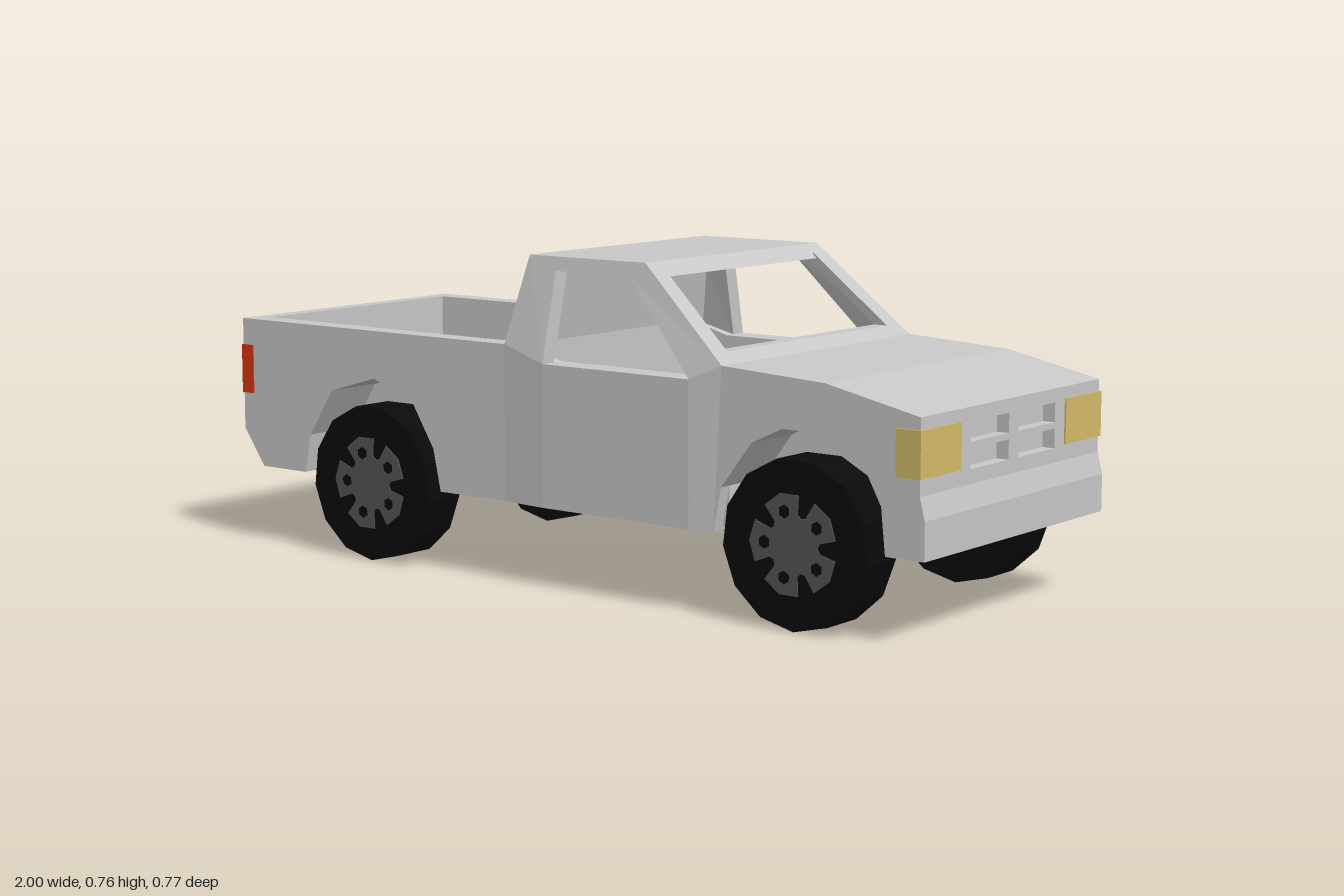
import * as THREE from 'three';
import { ConvexGeometry } from 'three/addons/geometries/ConvexGeometry.js';

const flat = (name, color) => {
  const m = new THREE.MeshStandardMaterial({ color, flatShading: true });
  m.name = name;
  return m;
};

export function createModel() {
  const truck = new THREE.Group();
  truck.name = 'pickupTruck';
  const paint = flat('body grey', 0xc8c8c8);
  const black = flat('tyre black', 0x0a0a0a);
  const steel = flat('rim grey', 0x555558);
  const amber = flat('headlight yellow', 0xd4bc68);
  const red = flat('tail light red', 0xd63610);

  const add = (name, geo, mat = paint, parent = truck) => {
    const mesh = new THREE.Mesh(geo, mat);
    mesh.name = name;
    parent.add(mesh);
    return mesh;
  };
  const shapeOf = (pts) => new THREE.Shape(pts.map(([x, y]) => new THREE.Vector2(x, y)));
  // Side-view outline swept between two z positions
  const sweep = (pts, za, zb) => {
    const z0 = Math.min(za, zb), depth = Math.abs(za - zb);
    return new THREE.ExtrudeGeometry(shapeOf(pts), { depth, bevelEnabled: false }).translate(0, 0, z0);
  };
  // Outline in (z, y) with holes, its front face at x = 0
  const facing = (pts, holes, depth) => {
    const s = shapeOf(pts);
    holes.forEach((h) => s.holes.push(new THREE.Path(h.map(([x, y]) => new THREE.Vector2(x, y)))));
    return new THREE.ExtrudeGeometry(s, { depth, bevelEnabled: false })
      .rotateY(Math.PI / 2).translate(-depth, 0, 0);
  };
  const box = (name, x0, x1, y0, y1, z0, z1, mat = paint) =>
    add(name, new THREE.BoxGeometry(x1 - x0, y1 - y0, Math.abs(z1 - z0))
      .translate((x0 + x1) / 2, (y0 + y1) / 2, (z0 + z1) / 2), mat);
  const hull = (pts) => new ConvexGeometry(pts.map((p) => new THREE.Vector3(...p)));

  const W = 0.37;
  const rearArch = [[-0.79, 0.19], [-0.77, 0.285], [-0.695, 0.4], [-0.555, 0.44],
    [-0.433, 0.4], [-0.364, 0.29], [-0.342, 0.19]];
  const frontArch = [[0.46, 0.19], [0.48, 0.29], [0.56, 0.395], [0.64, 0.433],
    [0.75, 0.433], [0.84, 0.39], [0.893, 0.294], [0.904, 0.19]];

  // Floor and cross walls
  box('floor', -0.93, 0.99, 0.19, 0.285, -0.21, 0.21);
  box('bedBulkhead', -0.195, -0.14, 0.19, 0.555, -W, W);
  box('firewall', 0.45, 0.48, 0.2, 0.55, -0.34, 0.34);
  add('tailgate', sweep([[-1, 0.555], [-1, 0.28], [-0.935, 0.19], [-0.9, 0.19],
    [-0.9, 0.285], [-0.96, 0.285], [-0.96, 0.555]], -W, W));

  // Hood, bumper and slotted grille
  add('hood', sweep([[0.48, 0.555], [0.75, 0.54], [0.987, 0.49], [0.987, 0.465],
    [0.75, 0.5], [0.48, 0.515]], -W, W));
  add('frontBumper', sweep([[0.92, 0.19], [1, 0.19], [1, 0.275], [0.987, 0.325], [0.92, 0.325]], -W, W));
  const slots = [];
  for (const s of [-1, 1]) for (const y of [0.357, 0.415])
    slots.push([[s * 0.02, y], [s * 0.175, y], [s * 0.175, y + 0.044], [s * 0.02, y + 0.044]]);
  add('grille', facing([[-W, 0.32], [W, 0.32], [W, 0.49], [-W, 0.49]], slots, 0.03).translate(0.987, 0, 0));
  box('grilleBacking', 0.92, 0.93, 0.32, 0.48, -0.3, 0.3);

  // Cab shell
  add('roof', hull([-1, 1].flatMap((s) => [[-0.095, 0.76, s * 0.33], [0.24, 0.76, s * 0.33],
    [-0.1, 0.728, s * 0.334], [0.27, 0.728, s * 0.334]])));
  add('cabBack', hull([-1, 1].flatMap((s) => [[-0.14, 0.555, s * W], [-0.1, 0.555, s * W],
    [-0.095, 0.76, s * 0.33], [-0.055, 0.76, s * 0.33]])));
  const screen = facing([[-W, 0.555], [W, 0.555], [0.33, 0.76], [-0.33, 0.76]],
    [[[-0.313, 0.578], [0.313, 0.578], [0.285, 0.74], [-0.285, 0.74]]], 0.035);
  const sp = screen.attributes.position;
  for (let i = 0; i < sp.count; i++)
    sp.setX(i, sp.getX(i) + 0.48 - (sp.getY(i) - 0.555) * 0.24 / 0.205);
  add('windscreenFrame', screen);

  for (const s of [1, -1]) {
    const side = s > 0 ? 'left' : 'right';

    // Bed side and front fender with arch cutouts
    add(side + 'BedSide', sweep([[-1, 0.555], [-1, 0.28], [-0.935, 0.19], ...rearArch,
      [-0.14, 0.19], [-0.14, 0.555]], s * 0.315, s * W));
    add(side + 'Fender', sweep([...frontArch, [1, 0.19], [1, 0.275], [0.987, 0.325],
      [0.987, 0.49], [0.75, 0.54], [0.48, 0.555]], s * 0.315, s * W));

    // Door skin, bulging outward between two creases: [bottom x, top x, top y, z]
    const ribs = [[-0.14, -0.14, 0.555, W], [-0.015, -0.015, 0.52, 0.382],
      [0.4, 0.4, 0.52, 0.382], [0.46, 0.48, 0.555, W]];
    for (let i = 0; i < 3; i++)
      add(side + 'Door', hull([ribs[i], ribs[i + 1]].flatMap(([xb, xt, y, z]) => [
        [xb, 0.19, s * z], [xt, y, s * z], [xb, 0.19, s * 0.315], [xt, y, s * 0.315]])));

    // Side window frame, leaning in toward the roof
    const frame = sweep([[-0.14, 0.555], [-0.015, 0.52], [-0.012, 0.728], [0.205, 0.725],
      [0.4, 0.52], [0.48, 0.555], [0.24, 0.76], [-0.095, 0.76]], s * 0.342, s * 0.382);
    const p = frame.attributes.position;
    for (let i = 0; i < p.count; i++) {
      const x = p.getX(i), end = x < -0.13 || x > 0.47 ? 0.0044 : 0;
      p.setZ(i, p.getZ(i) - s * ((p.getY(i) - 0.52) * 0.052 / 0.24 + end));
    }
    add(side + 'WindowFrame', frame);

    // Outer floor strips between the wheel wells
    for (const [x0, x1] of [[-0.93, -0.79], [-0.342, 0.46], [0.904, 0.99]])
      box(side + 'FloorStrip', x0, x1, 0.19, 0.285, s * 0.21, s * 0.32);

    // Wheel wells and wheels
    for (const [end, cx, arch] of [['Rear', -0.56, rearArch], ['Front', 0.68, frontArch]]) {
      const outer = arch.map(([x, y]) => [cx + (x - cx) * 1.06, 0.19 + (y - 0.19) * 1.06]);
      add(side + end + 'WheelWell', sweep([...arch, ...outer.slice().reverse()], s * 0.21, s * 0.368));
      add(side + end + 'WellWall', sweep(outer, s * 0.21, s * 0.22));

      const wheel = new THREE.Group();
      wheel.name = side + end + 'Wheel';
      wheel.position.set(cx, 0.188, 0);
      truck.add(wheel);
      const tyre = new THREE.CylinderGeometry(0.188, 0.188, 0.11, 13).rotateX(Math.PI / 2);
      add('tyre', tyre.translate(0, 0, s * 0.325), black, wheel);

      // Rim disc with five notches and five lug holes
      const ring = [];
      for (let k = 0; k < 5; k++)
        for (const [a, r] of [[0, 0.062], [0.16, 0.068], [0.2, 0.11], [0.63, 0.115], [1.06, 0.11], [1.1, 0.068]]) {
          const t = k * Math.PI * 0.4 + a;
          ring.push([r * Math.cos(t), r * Math.sin(t)]);
        }
      add('rim', sweep(ring, s * 0.378, s * 0.383), steel, wheel);
      for (let k = 0; k < 5; k++) {
        const t = k * Math.PI * 0.4 + 0.63;
        const hole = new THREE.CylinderGeometry(0.015, 0.015, 0.004, 6).rotateX(Math.PI / 2);
        add('rimHole', hole.translate(0.075 * Math.cos(t), 0.075 * Math.sin(t), s * 0.382), black, wheel);
      }
    }

    // Wraparound lamps
    box(side + 'HeadlightFront', 0.985, 0.991, 0.361, 0.463, s * 0.217, s * 0.375, amber);
    box(side + 'HeadlightSide', 0.93, 0.991, 0.361, 0.463, s * 0.368, s * 0.375, amber);
    box(side + 'TailLightRear', -1.003, -0.997, 0.37, 0.49, s * 0.18, s * 0.373, red);
    box(side + 'TailLightSide', -1.003, -0.965, 0.37, 0.49, s * 0.367, s * 0.373, red);
  }
  return truck;
}
